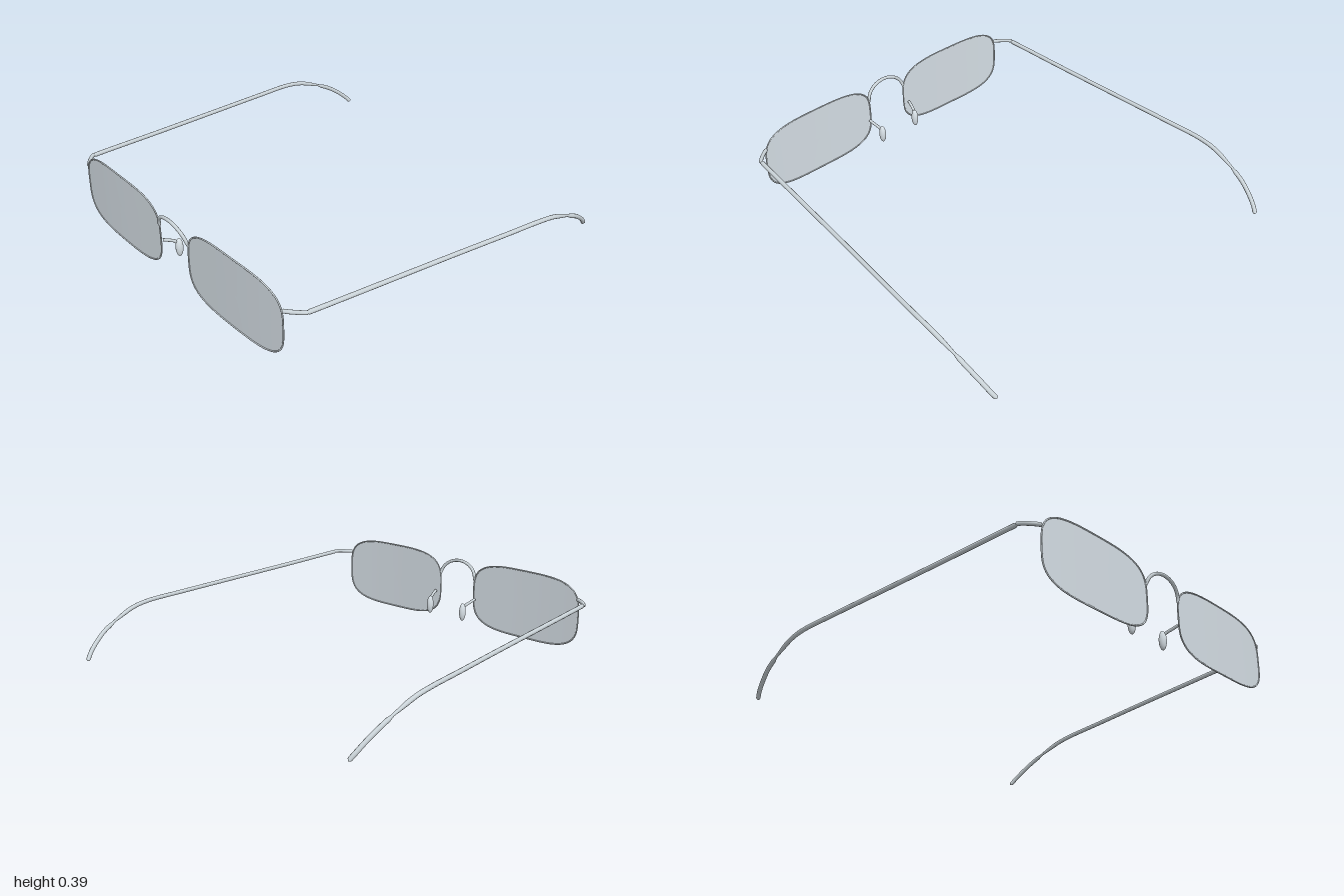
import * as THREE from 'three';

const metal = new THREE.MeshStandardMaterial({ color: 0xcad3d8 });
metal.name = 'light steel metal';
const glass = new THREE.MeshStandardMaterial({ color: 0xd9e2e9, side: THREE.DoubleSide });
glass.name = 'pale grey lens';
const padMat = new THREE.MeshStandardMaterial({ color: 0xdae3e9 });
padMat.name = 'pale nose pad';

const V = (x, y, z) => new THREE.Vector3(x, y, z);

// rounded-rectangle lens outline, bowed slightly backwards at the outer side
function lensPoint(angle, r, side) {
  const power = (v) => Math.sign(v) * Math.abs(v) ** (2 / 3.5);
  const x = 0.467 + 0.348 * r * power(Math.cos(angle));
  const y = 0.197 + 0.189 * r * power(Math.sin(angle));
  const bow = Math.max(0, (x - 0.35) / 0.47);
  return V(side * x, y, 0.937 - 0.013 * bow * bow);
}

function tube(name, points, radius, segments = 32, closed = false) {
  const curve = new THREE.CatmullRomCurve3(points, closed, 'centripetal');
  const mesh = new THREE.Mesh(new THREE.TubeGeometry(curve, segments, radius, 10, closed), metal);
  mesh.name = name;
  return mesh;
}

// narrows a tube towards its ends; taper gives the radius factor at t = 0..1
function shapeTube(mesh, taper) {
  const { path, tubularSegments, radialSegments } = mesh.geometry.parameters;
  const pos = mesh.geometry.attributes.position;
  const p = V(0, 0, 0);
  for (let i = 0; i < pos.count; i++) {
    const t = Math.floor(i / (radialSegments + 1)) / tubularSegments;
    const centre = path.getPointAt(t);
    p.fromBufferAttribute(pos, i).sub(centre).multiplyScalar(taper(t)).add(centre);
    pos.setXYZ(i, p.x, p.y, p.z);
  }
  return mesh;
}
const roundEnds = (t) => Math.min(1, Math.sqrt(Math.max(0, Math.min(t, 1 - t) * 25)));

function buildSide(side, label) {
  const group = new THREE.Group();
  group.name = label + 'Side';
  const path = (list) => list.map(([x, y, z]) => V(side * x, y, z));

  // lens sheet
  const sheet = new THREE.RingGeometry(0, 1, 96, 10);
  const pos = sheet.attributes.position;
  for (let i = 0; i < pos.count; i++) {
    const x = pos.getX(i), y = pos.getY(i);
    const p = lensPoint(Math.atan2(y, x), Math.hypot(x, y), side);
    pos.setXYZ(i, p.x, p.y, p.z);
  }
  if (side < 0) { // keep the front facing +z on the mirrored lens
    const ix = sheet.index.array;
    for (let i = 0; i < ix.length; i += 3) [ix[i], ix[i + 1]] = [ix[i + 1], ix[i]];
  }
  sheet.computeVertexNormals();
  const lens = new THREE.Mesh(sheet, glass);
  lens.name = label + 'Lens';
  group.add(lens);

  // fine wire rim
  const outline = [];
  for (let i = 0; i < 64; i++) outline.push(lensPoint((i / 64) * Math.PI * 2, 1, side));
  group.add(tube(label + 'Rim', outline, 0.004, 128, true));

  // hinge piece from the rim to the temple
  group.add(shapeTube(tube(label + 'Hinge', path([
    [0.808, 0.293, 0.925], [0.835, 0.294, 0.905], [0.875, 0.295, 0.868], [0.892, 0.294, 0.845],
  ]), 0.01, 24), roundEnds));

  // long temple arm
  group.add(shapeTube(tube(label + 'Temple', path([
    [0.885, 0.293, 0.86], [0.893, 0.289, 0.76], [0.915, 0.276, 0.45], [0.945, 0.261, 0.05],
    [0.973, 0.247, -0.3], [0.988, 0.237, -0.52], [0.987, 0.22, -0.62], [0.976, 0.168, -0.76],
  ]), 0.0115, 80), (t) => (t > 0.94 ? Math.max(0.5, 1 - (t - 0.94) * 8) : Math.min(1, t * 100))));

  // curved ear tip
  group.add(shapeTube(tube(label + 'EarTip', path([
    [0.977, 0.173, -0.745], [0.968, 0.136, -0.82], [0.953, 0.092, -0.885],
    [0.937, 0.048, -0.935], [0.922, 0.016, -0.963],
  ]), 0.0115, 40), (t) => Math.min(1, 0.5 + t * 4, Math.sqrt((1 - t) * 25))));

  // nose pad and its wire
  group.add(tube(label + 'PadWire', path([
    [0.141, 0.168, 0.918], [0.135, 0.157, 0.89], [0.125, 0.143, 0.858], [0.118, 0.125, 0.842],
  ]), 0.008, 16));
  const pad = new THREE.Mesh(new THREE.SphereGeometry(1, 24, 16), padMat);
  pad.name = label + 'NosePad';
  pad.scale.set(0.018, 0.051, 0.02);
  pad.position.set(side * 0.117, 0.105, 0.84);
  group.add(pad);
  return group;
}

export function createModel() {
  const model = new THREE.Group();
  model.name = 'eyeglasses';
  model.add(buildSide(1, 'left'), buildSide(-1, 'right'));

  // arched bridge
  const arch = [];
  for (let i = 0; i <= 16; i++) {
    const a = (i / 16) * Math.PI;
    const s = Math.sin(a);
    arch.push(V(0.12 * Math.cos(a), 0.272 + 0.091 * s, 0.937 + 0.021 * s));
  }
  model.add(shapeTube(tube('bridge', arch, 0.009, 48), (t) => Math.min(1, 0.6 + 8 * Math.min(t, 1 - t))));
  return model;
}
